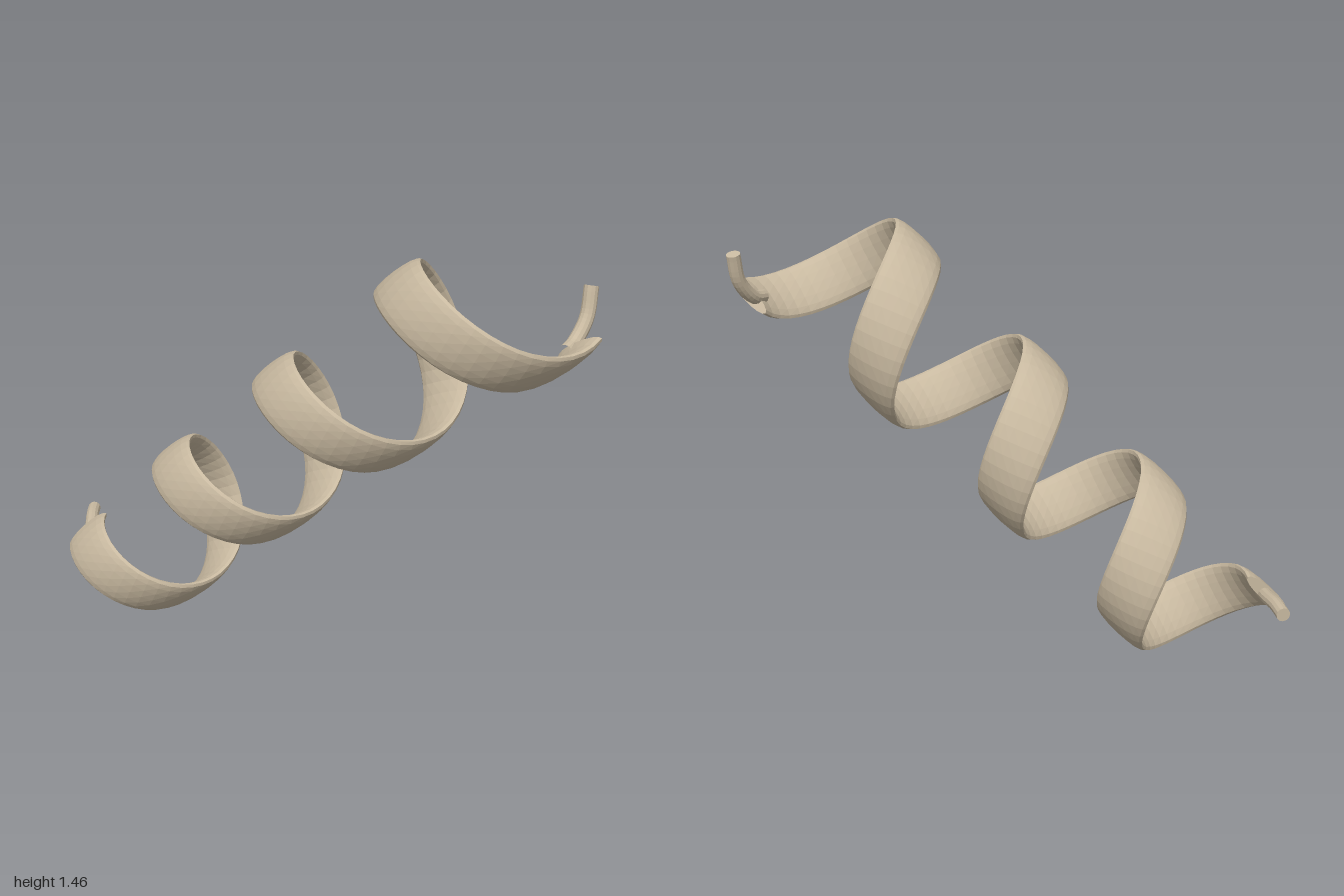
import * as THREE from 'three';

const mat = new THREE.MeshStandardMaterial({ color: 0xc8b9a0, flatShading: true });

// Rising, slightly widening coil around a tilted, gently bowed axis
const AXIS = new THREE.Vector3(0.4425, 0.37, 0.065).normalize();
const FRONT = new THREE.Vector3(0, 0, 1).addScaledVector(AXIS, -AXIS.z).normalize();
const UP = FRONT.clone().cross(AXIS).negate();
if (UP.y < 0) UP.negate();

function coilPoint(t) {
  const phi = t * Math.PI * 2;
  const r = 0.224 + 0.013 * (t - 0.25);
  return new THREE.Vector3(
    0.045 + (t - 2) * 0.4425 + 0.017 * (t - 1.8) ** 2,
    0.805 + (t - 2) * 0.37,
    -0.025 + (t - 2) * 0.065
  ).addScaledVector(UP, r * Math.cos(phi)).addScaledVector(FRONT, r * Math.sin(phi));
}

// Sweep a flat elliptical section along the coil, closed at both ends
function ribbonGeometry(t0, t1, steps, sides, halfWidth, halfThick) {
  const pos = [], idx = [];
  for (let i = 0; i <= steps; i++) {
    const t = t0 + (t1 - t0) * i / steps;
    const p = coilPoint(t);
    const tan = coilPoint(t + 0.001).sub(coilPoint(t - 0.001)).normalize();
    const wide = AXIS.clone().addScaledVector(tan, -AXIS.dot(tan)).normalize();
    const thick = tan.clone().cross(wide);
    for (let j = 0; j < sides; j++) {
      const a = j / sides * Math.PI * 2;
      const q = p.clone().addScaledVector(wide, halfWidth * Math.cos(a))
        .addScaledVector(thick, halfThick * Math.sin(a));
      pos.push(q.x, q.y, q.z);
    }
  }
  for (let i = 0; i < steps; i++) {
    for (let j = 0; j < sides; j++) {
      const k = (j + 1) % sides;
      const a = i * sides + j, b = i * sides + k;
      idx.push(a, b, a + sides, b, b + sides, a + sides);
    }
  }
  const last = steps * sides;
  for (let j = 1; j < sides - 1; j++) {
    idx.push(0, j + 1, j, last, last + j, last + j + 1);
  }
  const g = new THREE.BufferGeometry();
  g.setAttribute('position', new THREE.Float32BufferAttribute(pos, 3));
  g.setIndex(idx);
  g.computeVertexNormals();
  return g;
}

// Thin bent stem with flat ends
function stem(name, points, radius) {
  const group = new THREE.Group();
  group.name = name;
  const curve = new THREE.CatmullRomCurve3(points.map(p => new THREE.Vector3(...p)));
  const tube = new THREE.Mesh(new THREE.TubeGeometry(curve, 14, radius, 12), mat);
  tube.name = name + 'Tube';
  const cap = new THREE.Mesh(new THREE.CircleGeometry(radius, 12), mat);
  cap.name = name + 'Cap';
  cap.position.copy(curve.getPoint(1));
  cap.quaternion.setFromUnitVectors(new THREE.Vector3(0, 0, 1), curve.getTangent(1));
  group.add(tube, cap);
  return group;
}

export function createModel() {
  const model = new THREE.Group();
  model.name = 'spiralCoil';

  const ribbon = new THREE.Mesh(ribbonGeometry(0.045, 3.545, 126, 16, 0.1, 0.024), mat);
  ribbon.name = 'coiledRibbon';

  model.add(
    ribbon,
    stem('lowerStem', [[-0.89, 0.235, -0.06], [-0.915, 0.245, -0.13], [-0.945, 0.255, -0.2], [-0.972, 0.255, -0.27]], 0.024),
    stem('upperStem', [[0.91, 1.175, 0.03], [0.925, 1.19, -0.03], [0.95, 1.26, -0.09], [0.955, 1.362, -0.117]], 0.025)
  );
  return model;
}
